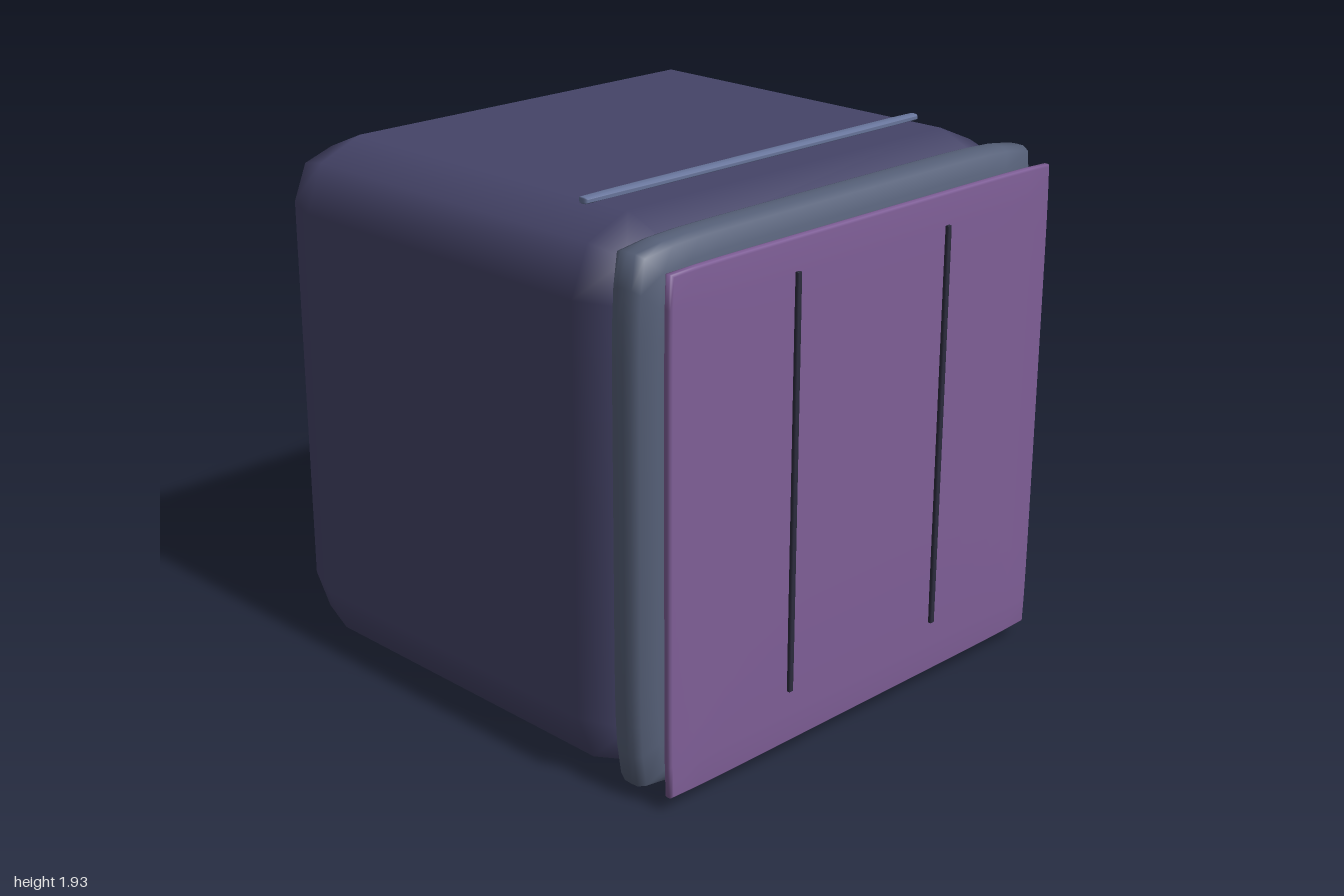
import * as THREE from 'three';
import { mergeVertices } from 'three/addons/utils/BufferGeometryUtils.js';
import { RoundedBoxGeometry } from 'three/addons/geometries/RoundedBoxGeometry.js';

// Soft slab: the thickness thins towards the rim, the rim is rounded and the corners pulled in.
function pillow(w, h, d, { thin = 0.2, rim = 0.02, corner = 0.02 } = {}) {
  const base = new THREE.BoxGeometry(2, 2, 2, 16, 16, 6);
  base.deleteAttribute('normal');
  base.deleteAttribute('uv');
  const geo = mergeVertices(base);
  const p = geo.attributes.position;
  for (let i = 0; i < p.count; i++) {
    const u = p.getX(i), v = p.getY(i), t = p.getZ(i);
    const round = rim * t ** 4;
    p.setXYZ(i,
      u * (w / 2 - round - corner * v ** 8),
      v * (h / 2 - round - corner * u ** 8),
      t * (d / 2) * (1 - thin * Math.max(Math.abs(u), Math.abs(v)) ** 6));
  }
  geo.computeVertexNormals();
  return geo;
}

export function createModel() {
  const group = new THREE.Group();

  const add = (name, geometry, color, x, y, z) => {
    const mesh = new THREE.Mesh(geometry, new THREE.MeshStandardMaterial({ color }));
    mesh.name = name;
    mesh.position.set(x, y, z);
    group.add(mesh);
  };

  // Main block with two-step bevels
  add('body', new RoundedBoxGeometry(2, 1.91, 1.83, 1, 0.24), 0x454468, 0, 0.955, -0.075);

  // Padded frame sunk into the front of the block
  add('frontFrame', pillow(1.94, 1.85, 0.23, { thin: 0.22, rim: 0.06, corner: 0.025 }),
    0x566078, 0, 0.955, 0.795);

  // Thin front panel
  add('frontPanel', pillow(1.86, 1.77, 0.045, { thin: 0.2, rim: 0.008, corner: 0.006 }),
    0x7e5e96, 0, 0.935, 0.944);

  // Two upright strips on the panel
  for (const x of [-0.39, 0.347]) {
    add('panelStrip', pillow(0.02, 1.46, 0.017, { thin: 0.15, rim: 0.002, corner: 0.001 }),
      0x2b2b3c, x, 0.985, 0.98);
  }

  // Narrow bar across the top
  add('topBar', pillow(1.61, 0.026, 0.048, { thin: 0.15, rim: 0.005, corner: 0.002 }),
    0x67749a, 0, 1.917, 0.443);

  return group;
}
